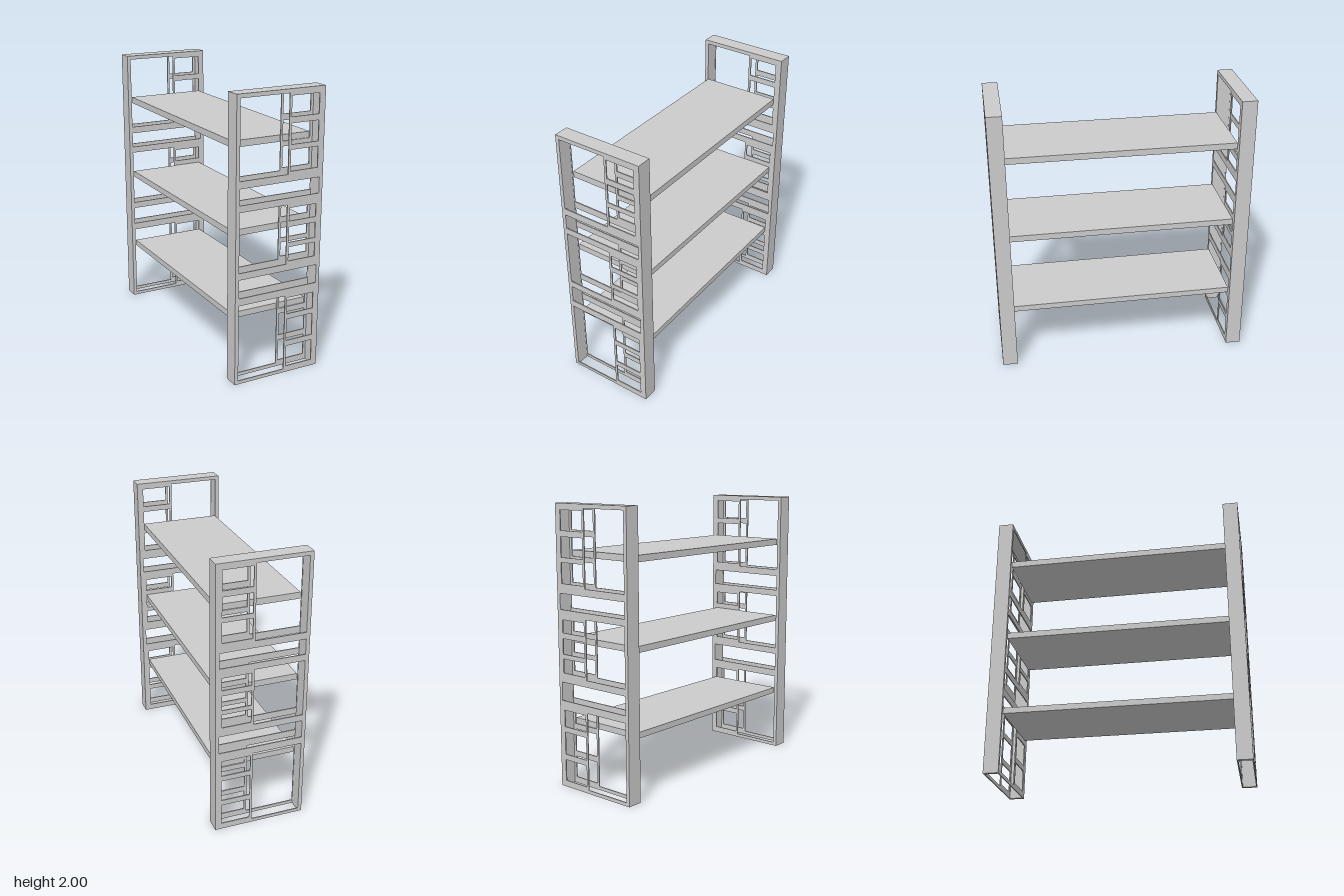
import * as THREE from 'three';

const material = new THREE.MeshStandardMaterial({ color: 0xcccccc, flatShading: true, side: THREE.DoubleSide });

// Box given by its lower and upper corners
function box(name, [x0, y0, z0], [x1, y1, z1]) {
  const mesh = new THREE.Mesh(new THREE.BoxGeometry(x1 - x0, y1 - y0, z1 - z0), material);
  mesh.position.set((x0 + x1) / 2, (y0 + y1) / 2, (z0 + z1) / 2);
  mesh.name = name;
  return mesh;
}

function rectangle(target, x0, x1, y0, y1) {
  target.moveTo(x0, y0);
  target.lineTo(x1, y0);
  target.lineTo(x1, y1);
  target.lineTo(x0, y1);
  target.closePath();
  return target;
}

const W = 0.33, POST = 0.305, DEPTH = 0.11, INNER = 0.81, SHEET = 0.008, TOP = 1.98;

// Openings of the lattice: [bottom, top]
const tallOpenings = [[0.025, 0.578], [0.81, 1.228], [1.437, 1.972]];
const wideOpenings = [[0.63, 0.762], [1.275, 1.387]];
const smallOpenings = [
  [0.045, 0.2], [0.24, 0.403], [0.442, 0.562],
  [0.83, 0.93], [0.963, 1.073], [1.113, 1.205],
  [1.456, 1.6], [1.635, 1.775], [1.817, 1.955],
];

function latticeGeometry() {
  const shape = rectangle(new THREE.Shape(), -POST, POST, 0, TOP);
  const cut = (x0, x1, spans) => {
    for (const [y0, y1] of spans) shape.holes.push(rectangle(new THREE.Path(), x0, x1, y0, y1));
  };
  cut(-0.303, 0.058, tallOpenings);
  cut(-0.303, 0.303, wideOpenings);
  cut(0.075, 0.285, smallOpenings);
  return new THREE.ExtrudeGeometry(shape, { depth: SHEET, bevelEnabled: false });
}

export function createModel() {
  const model = new THREE.Group();
  model.name = 'shelvingUnit';
  const lattice = latticeGeometry();

  // End frames: two posts, a top board and a thin lattice on each face
  for (const [name, z] of [['frontFrame', INNER], ['backFrame', -INNER - DEPTH]]) {
    const frame = new THREE.Group();
    frame.name = name;
    frame.position.z = z;
    frame.add(
      box('rightPost', [-W, 0, 0], [-POST, TOP, DEPTH]),
      box('leftPost', [POST, 0, 0], [W, TOP, DEPTH]),
      box('topBoard', [-W, TOP, 0], [W, 2, DEPTH]),
    );
    for (const [side, offset] of [['rearLattice', 0], ['frontLattice', DEPTH - SHEET]]) {
      const sheet = new THREE.Mesh(lattice, material);
      sheet.name = side;
      sheet.position.z = offset;
      frame.add(sheet);
    }
    model.add(frame);
  }

  // Shelves spanning between the frames
  for (const [y0, y1] of [[0.442, 0.485], [1.03, 1.075], [1.632, 1.678]]) {
    model.add(box('shelf', [-0.3, y0, -INNER], [0.285, y1, INNER]));
  }
  return model;
}
